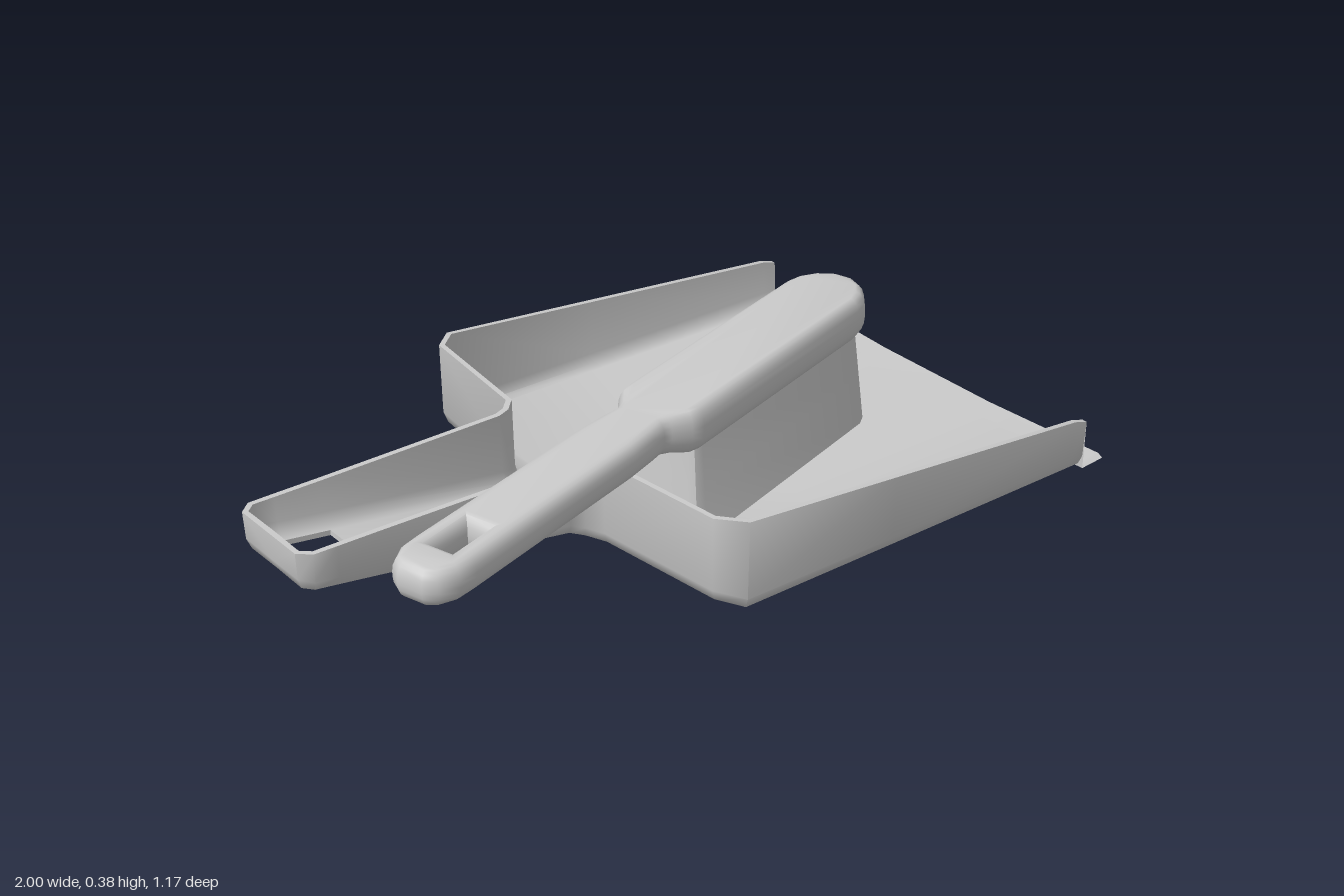
import * as THREE from 'three';
import { toCreasedNormals } from 'three/addons/utils/BufferGeometryUtils.js';

const material = new THREE.MeshStandardMaterial({ color: 0xcccccc, side: THREE.DoubleSide });

function addMesh(parent, name, geometry, crease = 0.8) {
  const mesh = new THREE.Mesh(toCreasedNormals(geometry, crease), material);
  mesh.name = name;
  parent.add(mesh);
  return mesh;
}

// Piecewise linear lookup through [x, y] pairs
function lookup(points, x) {
  if (x <= points[0][0]) return points[0][1];
  for (let i = 1; i < points.length; i++) {
    const [x0, y0] = points[i - 1], [x1, y1] = points[i];
    if (x <= x1) return y0 + (y1 - y0) * (x - x0) / (x1 - x0);
  }
  return points[points.length - 1][1];
}

// Underside height: sloping handle, then a pan with slightly raised sides
const underside = (x, z) =>
  lookup([[-1, 0.17], [-0.3, 0.065], [-0.13, 0.002], [0.93, 0], [1, 0.005]], x)
  + 0.016 * Math.max(0, Math.abs(z) - 0.2) / 0.385;
const rimHeight = x => lookup([[-1, 0.27], [-0.23, 0.263], [0.89, 0.157], [0.93, 0.145]], x);

// Half outline of the pan and its trough handle: x, z, lip flag
const OUTLINE = [
  [-1, 0], [-1, 0.11], [-0.97, 0.137], [-0.91, 0.138], [-0.79, 0.139], [-0.3, 0.148],
  [-0.27, 0.16], [-0.24, 0.19], [-0.2, 0.53], [-0.14, 0.585], [0.3, 0.585], [0.89, 0.585], [0.93, 0.585],
  [0.93, 0.585, 1], [1, 0.585, 1],
];
const HOLE_ROW = 3;

// Cross-section columns: inward offset, height over underside ('rim' = wall top), inner side flag
const SECTION = [
  [0.04, 0, 0], [0.015, 0.008, 0], [0.004, 0.032, 0], [0, 'rim', 0],
  [0.014, 'rim', 1], [0.018, 0.05, 1], [0.025, 0.024, 1], [0.04, 0.013, 1],
];

function buildPanGeometry() {
  let spineX = -1;
  const rows = OUTLINE.map(([x, z, lip], i) => {
    const a = OUTLINE[Math.max(0, i - 1)], b = OUTLINE[Math.min(OUTLINE.length - 1, i + 1)];
    const unit = (p, q) => new THREE.Vector2(q[0] - p[0], q[1] - p[1]).normalize();
    const t = unit(a, [x, z]).add(unit([x, z], b)).normalize();
    const n = i === 0 ? [1, 0] : [t.y, -t.x];
    const floorThickness = x > 0.99 ? 0.008 : 0.013;
    const row = SECTION.map(([d, h, inner]) => {
      const px = x + n[0] * d, pz = Math.max(0, z + n[1] * d);
      const base = underside(px, pz);
      let y = h === 'rim' ? rimHeight(x) : base + h;
      if (lip) y = base + (inner ? floorThickness : 0);
      return [px, y, pz];
    });
    // Floor columns running in to the centre line
    spineX = Math.max(spineX, row[0][0]);
    const z1 = row[0][2] * 0.36;
    const floor = (pz, up) => [spineX, underside(spineX, pz) + up, pz];
    return [floor(0, 0), floor(z1, 0), ...row, floor(z1, floorThickness), floor(0, floorThickness)];
  });

  const position = [];
  const quad = (a, b, c, d) => {
    for (const side of [1, -1]) {
      const corners = side > 0 ? [a, b, c, a, c, d] : [a, c, b, a, d, c];
      for (const p of corners) position.push(p[0], p[1], p[2] * side);
    }
  };
  const last = rows[0].length - 1;
  for (let i = 0; i < rows.length - 1; i++) {
    const r = rows[i], s = rows[i + 1];
    for (let j = 0; j < last; j++) {
      const isFloor = j < 2 || j >= last - 2;
      if (i === HOLE_ROW && isFloor) continue; // hanging hole
      quad(r[j], s[j], s[j + 1], r[j + 1]);
    }
  }
  // Sides of the hanging hole
  const h0 = rows[HOLE_ROW], h1 = rows[HOLE_ROW + 1];
  quad(h0[2], h0[last - 2], h1[last - 2], h1[2]);
  for (let j = 0; j < 2; j++) {
    quad(h0[j], h0[j + 1], h0[last - j - 1], h0[last - j]);
    quad(h1[j], h1[last - j], h1[last - j - 1], h1[j + 1]);
  }
  // Front edge of the lip
  const end = rows[rows.length - 1];
  for (let j = 0; j < last / 2 - 1; j++) quad(end[j], end[last - j], end[last - j - 1], end[j + 1]);

  const geometry = new THREE.BufferGeometry();
  geometry.setAttribute('position', new THREE.Float32BufferAttribute(position, 3));
  return geometry;
}

// Symmetric shape from one side of its outline
function mirroredShape(half) {
  const upper = half.map(([s, w]) => new THREE.Vector2(s, w));
  const lower = half.map(([s, w]) => new THREE.Vector2(s, -w)).reverse();
  return new THREE.Shape([...lower, ...upper]);
}

function buildBrush() {
  const brush = new THREE.Group();
  brush.name = 'brush';

  // Handle and head in one bevelled piece
  const BEVEL = 0.024;
  const shape = mirroredShape([
    [-0.951, 0.025], [-0.94, 0.042], [-0.905, 0.058], [-0.86, 0.06], [-0.3, 0.058], [-0.22, 0.053],
    [-0.17, 0.046], [-0.14, 0.054], [-0.1, 0.081], [-0.07, 0.086], [0.6, 0.086], [0.64, 0.078], [0.675, 0.055], [0.696, 0.02],
  ]);
  const hole = [[-0.875 - BEVEL * 0.3, -0.045], [-0.735, -0.045], [-0.735, 0.04], [-0.875 - BEVEL * 0.3, 0.04]];
  // The hole is widened because the bevel closes in on it
  const cs = -0.805, grow = BEVEL * 0.9;
  shape.holes.push(new THREE.Path(hole.map(([s, w]) =>
    new THREE.Vector2(s + Math.sign(s - cs) * grow * 0.3, w + Math.sign(w) * grow * 0.3))));
  const body = new THREE.ExtrudeGeometry(shape, {
    depth: 0.012, bevelEnabled: true, bevelThickness: 0.038, bevelSize: BEVEL, bevelSegments: 4,
  });
  body.rotateX(Math.PI / 2).translate(0, 0.006, 0);
  // Head is taller than the handle
  const p = body.attributes.position;
  for (let i = 0; i < p.count; i++) {
    const k = THREE.MathUtils.smoothstep(p.getX(i), -0.2, -0.08), y = p.getY(i);
    p.setY(i, 0.334 - 0.006 * k + y * (1 + 0.29 * k));
  }
  addMesh(brush, 'brushBody', body, 0.7);

  // Bristle block, flaring towards the floor
  const block = mirroredShape([[-0.075, 0.065], [-0.068, 0.08], [-0.045, 0.087], [0.61, 0.087], [0.64, 0.078], [0.652, 0.055]]);
  const bristles = new THREE.ExtrudeGeometry(block, { depth: 0.25, bevelEnabled: false, steps: 2 });
  bristles.rotateX(Math.PI / 2).translate(0, 0.285, 0);
  const q = bristles.attributes.position;
  for (let i = 0; i < q.count; i++) {
    const k = (0.285 - q.getY(i)) / 0.25;
    q.setX(i, 0.29 + (q.getX(i) - 0.29) * (1 + 0.05 * k));
    q.setZ(i, q.getZ(i) * (1 + 0.32 * k));
  }
  addMesh(brush, 'bristles', bristles, 0.7);

  brush.position.z = 0.175;
  brush.rotation.y = 0.29;
  return brush;
}

export function createModel() {
  const model = new THREE.Group();
  model.name = 'dustpanAndBrush';
  addMesh(model, 'dustpan', buildPanGeometry());
  model.add(buildBrush());
  return model;
}
